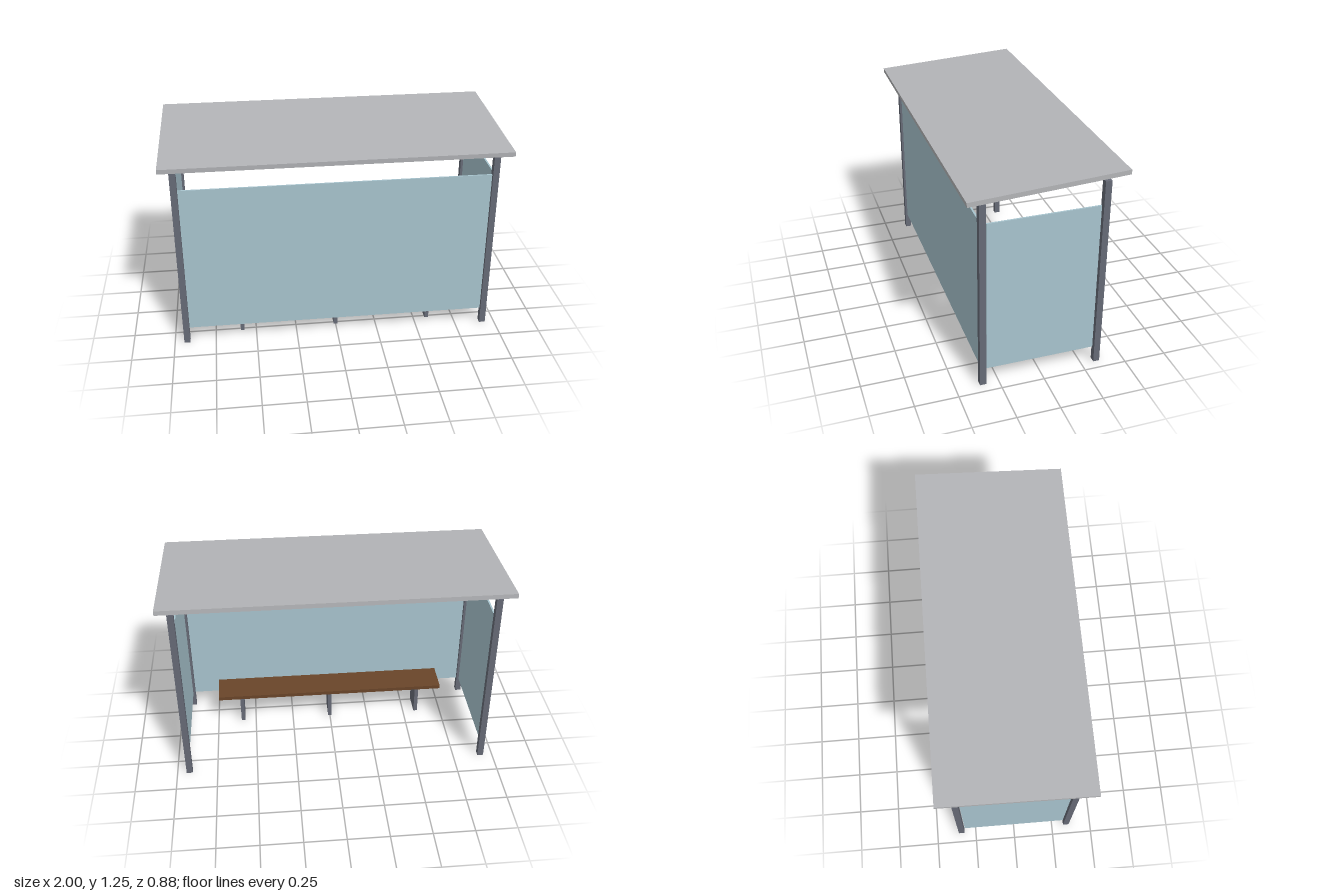
import * as THREE from 'three';

const paint = (name, color) => {
  const m = new THREE.MeshStandardMaterial({ color });
  m.name = name;
  return m;
};

export function createModel() {
  const model = new THREE.Group();
  model.name = 'shelter';

  const steel = paint('slate steel', 0x666a76);
  const glass = paint('pale blue glass', 0xa8c4ce);
  const metal = paint('light grey roof', 0xb3b4b7);
  const wood = paint('brown wood', 0x6a4529);

  // Box with its underside at height y
  const box = (name, material, [w, h, d], [x, y, z], parent = model) => {
    const mesh = new THREE.Mesh(new THREE.BoxGeometry(w, h, d), material);
    mesh.name = name;
    mesh.position.set(x, y + h / 2, z);
    parent.add(mesh);
    return mesh;
  };

  const postX = 0.925, postZ = 0.343;

  // Four corner posts
  for (const sx of [-1, 1]) {
    for (const sz of [-1, 1]) {
      const name = (sz > 0 ? 'front' : 'back') + (sx > 0 ? 'Left' : 'Right') + 'Post';
      box(name, steel, [0.037, 1.172, 0.037], [sx * postX, 0, sz * postZ]);
    }
  }

  // Glazing on the front and both ends
  box('frontPanel', glass, [1.81, 0.925, 0.01], [0, 0.1, postZ]);
  for (const sx of [-1, 1]) {
    box(sx > 0 ? 'leftPanel' : 'rightPanel', glass, [0.01, 0.925, 0.636], [sx * postX, 0.1, 0]);
  }

  // Roof slab, sloping down towards the front
  const roof = box('roof', metal, [2, 0.027, 0.88], [0, 1.199, 0]);
  roof.rotation.x = Math.atan2(0.049, 0.88);

  // Bench on three plate supports
  const bench = new THREE.Group();
  bench.name = 'bench';
  model.add(bench);
  box('seat', wood, [1.47, 0.024, 0.196], [0, 0.2, 0.197], bench);
  for (const x of [-0.585, 0, 0.585]) {
    box('benchSupport', steel, [0.024, 0.2, 0.145], [x, 0, 0.197], bench);
  }

  return model;
}
